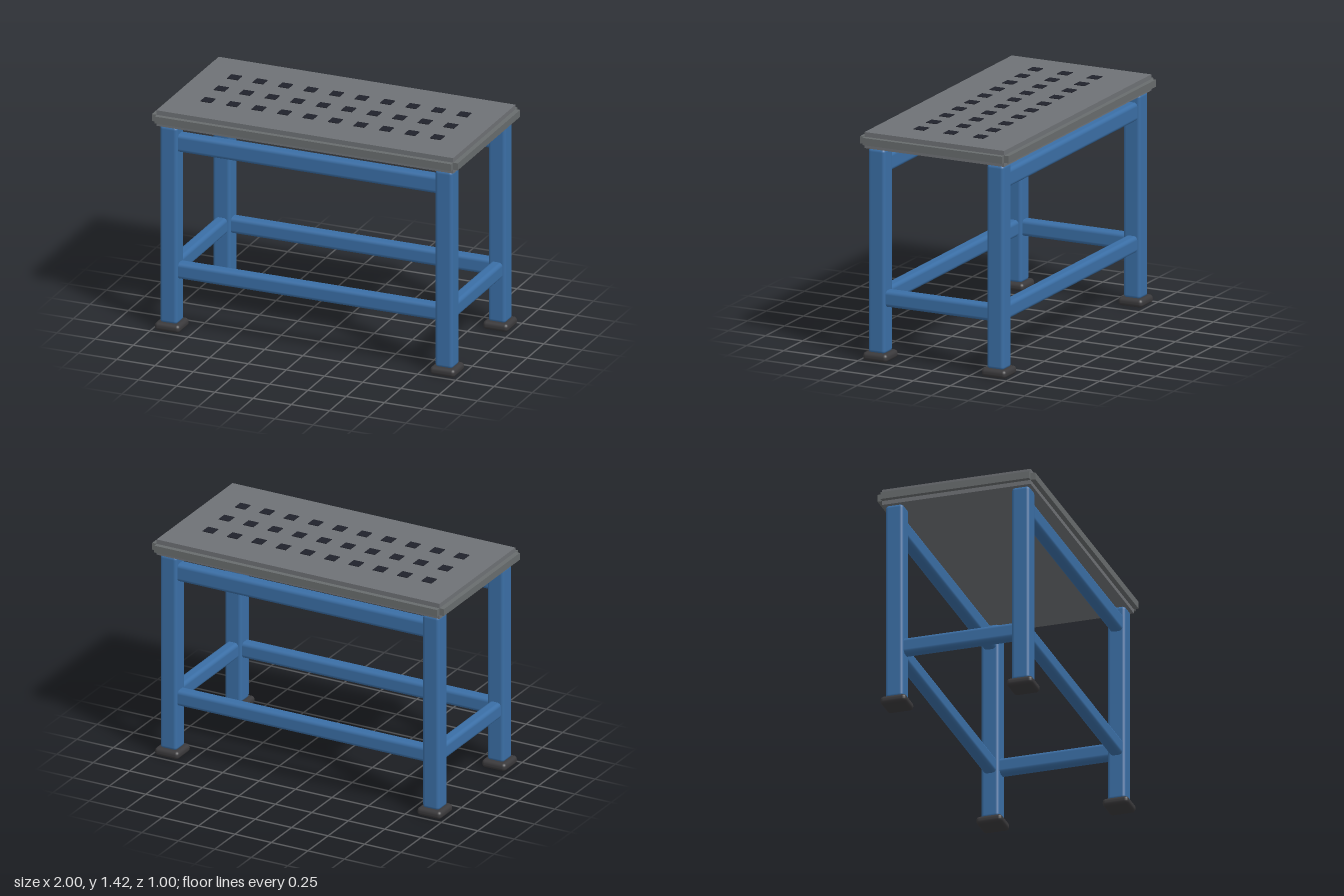
import * as THREE from 'three';
import { RoundedBoxGeometry } from 'three/addons/geometries/RoundedBoxGeometry.js';

export function createModel() {
  const model = new THREE.Group();
  model.name = 'workbench';

  const material = (name, color) => {
    const m = new THREE.MeshStandardMaterial({ color });
    m.name = name;
    return m;
  };
  const blue = material('bluePaint', 0x3a6ea5);
  const steel = material('steelGrey', 0x6e7175);
  const edge = material('edgeGrey', 0x686c6d);
  const rubber = material('darkRubber', 0x3a393b);
  const dark = material('darkHole', 0x20222b);

  // Adds a sharp or rounded box, centred at (x, y, z)
  function box(name, mat, [w, h, d], [x, y, z], radius = 0) {
    const geometry = radius
      ? new RoundedBoxGeometry(w, h, d, 3, radius)
      : new THREE.BoxGeometry(w, h, d);
    const mesh = new THREE.Mesh(geometry, mat);
    mesh.name = name;
    mesh.position.set(x, y, z);
    model.add(mesh);
  }

  // Worktop slab
  box('worktop', steel, [1.94, 0.1, 0.94], [0, 1.37, 0]);

  for (const s of [-1, 1]) {
    // Edge strips around the slab
    box('longEdgeStrip', edge, [1.94, 0.045, 0.03], [0, 1.3685, s * 0.485]);
    box('shortEdgeStrip', edge, [0.03, 0.045, 0.94], [s * 0.985, 1.3685, 0]);

    // Long rails front and back, short rails left and right; ends sit inside the legs
    box('upperRail', blue, [1.76, 0.115, 0.08], [0, 1.2125, s * 0.4], 0.024);
    box('lowerRail', blue, [1.76, 0.102, 0.08], [0, 0.387, s * 0.4], 0.024);
    box('sideRail', blue, [0.08, 0.102, 0.76], [s * 0.9, 0.387, 0], 0.024);

    // Legs and feet
    for (const t of [-1, 1]) {
      box('leg', blue, [0.114, 1.275, 0.114], [s * 0.9, 0.6825, t * 0.4], 0.021);
      box('foot', rubber, [0.165, 0.052, 0.165], [s * 0.9, 0.026, t * 0.4], 0.023);
    }
  }

  // Grid of square holes, shown as thin plates
  for (let row = -1; row <= 1; row++) {
    for (let i = 0; i < 10; i++) {
      box('holePlate', dark, [0.07, 0.006, 0.07], [-0.75 + i / 6, 1.421, row * 0.2]);
    }
  }

  return model;
}
